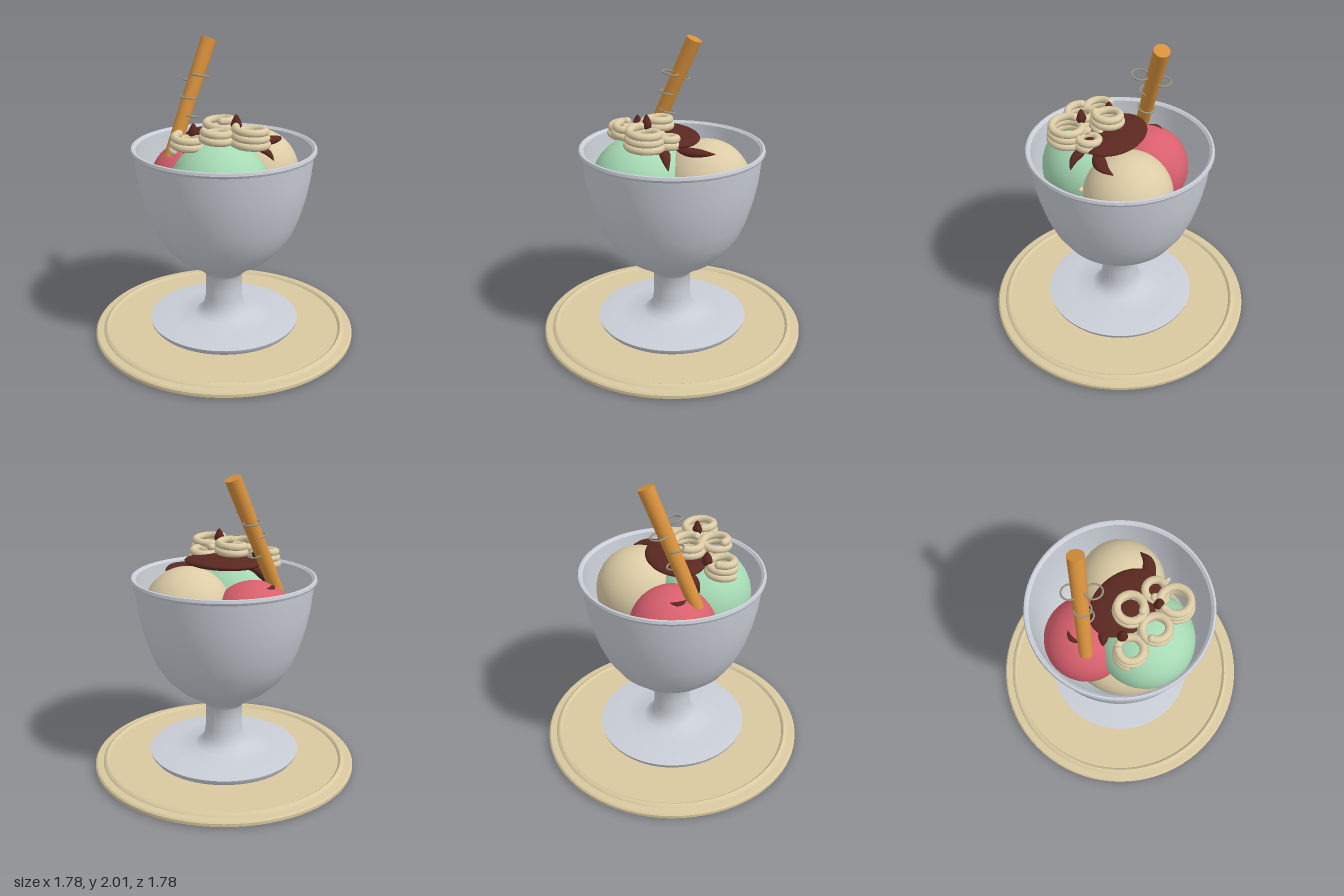
import * as THREE from 'three';
import { toCreasedNormals } from 'three/addons/utils/BufferGeometryUtils.js';

const mat = (name, color) => {
  const m = new THREE.MeshStandardMaterial({ color });
  m.name = name;
  return m;
};
const V = (x, y, z) => new THREE.Vector3(x, y, z);

export function createModel() {
  const group = new THREE.Group();
  const glass = mat('pale grey glass', 0xc9ced6);
  const beige = mat('plate beige', 0xd8c9a0);
  const cream = mat('vanilla cream', 0xdccca6);
  const pink = mat('strawberry pink', 0xd9606e);
  const green = mat('mint green', 0xa6dab4);
  const brown = mat('chocolate', 0x5a2820);
  const orange = mat('wafer orange', 0xd8913c);
  const wire = mat('grey wire', 0x9c9680);

  const add = (name, geo, material, pos = [0, 0, 0], scale = [1, 1, 1]) => {
    const mesh = new THREE.Mesh(geo, material);
    mesh.name = name;
    mesh.position.set(...pos);
    mesh.scale.set(...scale);
    group.add(mesh);
    return mesh;
  };
  const lathe = (pts) => toCreasedNormals(
    new THREE.LatheGeometry(pts.map(([r, y]) => new THREE.Vector2(r, y)), 80), 0.6);

  // Round saucer with a raised bead near its edge
  add('saucer', lathe([
    [0, 0], [0.88, 0], [0.89, 0.01], [0.89, 0.03], [0.88, 0.04],
    [0.835, 0.043], [0.825, 0.055], [0.81, 0.06], [0.8, 0.054], [0.793, 0.044], [0, 0.044],
  ]), beige);

  // Footed goblet: outside from the foot to the rim, then down the inside
  add('goblet', lathe([
    [0, 0.044], [0.46, 0.055], [0.49, 0.065], [0.505, 0.085], [0.51, 0.103], [0.48, 0.108],
    [0.35, 0.12], [0.2, 0.13], [0.165, 0.155], [0.14, 0.19], [0.127, 0.25], [0.124, 0.33],
    [0.124, 0.42], [0.135, 0.44], [0.2, 0.495], [0.3, 0.555], [0.39, 0.64], [0.46, 0.75],
    [0.505, 0.86], [0.545, 1.0], [0.57, 1.13], [0.587, 1.29], [0.6, 1.295], [0.607, 1.31],
    [0.602, 1.328], [0.59, 1.33], [0.573, 1.315], [0.555, 1.13], [0.53, 1.0], [0.49, 0.86],
    [0.445, 0.76], [0.37, 0.66], [0.27, 0.58], [0.15, 0.54], [0, 0.52],
  ]), glass);

  // Ice cream scoops
  const ball = new THREE.SphereGeometry(1, 48, 32);
  const scoop = (name, material, pos, r, h = r) => add(name, ball, material, pos, [r, h, r]);
  scoop('baseScoop', cream, [0.02, 0.86, 0.05], 0.425, 0.31);
  scoop('vanillaScoop', cream, [0.185, 1.115, -0.17], 0.288);
  scoop('strawberryScoop', pink, [-0.235, 1.045, -0.07], 0.282);
  scoop('mintScoop', green, [0.015, 1.11, 0.22], 0.32, 0.31);
  for (const [x, y, z] of [[0.34, 1.16, 0.08], [0.42, 1.1, 0.03]])
    add('creamDrop', ball, cream, [x, y, z], [0.022, 0.015, 0.015]);

  // Chocolate sauce pool
  add('saucePool', ball, brown, [0.02, 1.41, 0.03], [0.262, 0.04, 0.19]);

  // Curved drips, tapering at both ends
  const drip = (pts, r) => {
    const curve = new THREE.CatmullRomCurve3(pts.map((p) => V(...p)));
    const n = 24, k = 10;
    const geo = new THREE.TubeGeometry(curve, n, r, k);
    const p = geo.attributes.position;
    for (let i = 0; i < p.count; i++) {
      const t = Math.floor(i / (k + 1)) / n;
      const c = curve.getPointAt(t);
      const q = V(p.getX(i), p.getY(i), p.getZ(i)).sub(c);
      q.multiplyScalar(Math.sin(Math.PI * (0.02 + 0.96 * t)));
      q.y *= 0.6;
      q.add(c);
      p.setXYZ(i, q.x, q.y, q.z);
    }
    geo.computeVertexNormals();
    add('sauceDrip', geo, brown);
  };
  drip([[0.345, 1.36, -0.16], [0.33, 1.37, -0.08], [0.27, 1.37, -0.01], [0.17, 1.385, 0.06]], 0.045);
  drip([[-0.33, 1.3, -0.13], [-0.355, 1.295, -0.07], [-0.335, 1.3, -0.01]], 0.02);
  drip([[0.14, 1.41, 0.13], [0.25, 1.37, 0.14], [0.31, 1.34, 0.15], [0.35, 1.29, 0.15]], 0.035);
  drip([[-0.12, 1.4, 0.02], [-0.21, 1.36, 0.07], [-0.25, 1.28, 0.1]], 0.035);

  // Piped cream coils: x, base y, z, ring radius, turns
  const coils = [
    [-0.01, 1.43, 0.1, 0.088, 2.2], [0.2, 1.37, 0.11, 0.068, 2.2],
    [-0.18, 1.35, 0.27, 0.085, 2.2], [0.01, 1.415, 0.295, 0.085, 1.8],
    [0.215, 1.4, 0.26, 0.1, 2.7],
  ];
  coils.forEach(([x, y, z, r, turns], i) => {
    const pts = [];
    const steps = Math.round(turns * 16);
    for (let s = 0; s <= steps; s++) {
      const a = (s / 16) * Math.PI * 2 + i * 1.3;
      const rr = r * (1.06 - 0.16 * s / steps);
      pts.push(V(Math.cos(a) * rr, 0.012 + 0.041 * s / 16, Math.sin(a) * rr));
    }
    const curve = new THREE.CatmullRomCurve3(pts);
    add('creamCoil', new THREE.TubeGeometry(curve, 80, 0.025, 10), cream, [x, y, z]);
    for (const end of [pts[0], pts[steps]])
      add('coilEnd', ball, cream, [x + end.x, y + end.y, z + end.z], [0.025, 0.025, 0.025]);
  });

  // Pointed chocolate chips
  const chip = new THREE.LatheGeometry([
    [0, 0], [0.025, 0.004], [0.034, 0.025], [0.028, 0.05], [0.014, 0.08], [0, 0.095],
  ].map(([r, y]) => new THREE.Vector2(r, y)), 20);
  add('chocolateChip', chip, brown, [-0.16, 1.42, 0.18]);
  add('chocolateChip', chip, brown, [0.12, 1.497, 0.21], [1.05, 1, 0.9]);

  // Leaning wafer stick
  const top = V(-0.142, 1.985, -0.205), low = V(-0.35, 1.24, 0.05);
  const axis = top.clone().sub(low);
  const mid = top.clone().add(low).multiplyScalar(0.5);
  const stick = add('waferStick',
    new THREE.CylinderGeometry(0.052, 0.044, axis.length(), 32), orange, mid.toArray());
  stick.quaternion.setFromUnitVectors(V(0, 1, 0), axis.clone().normalize());

  // Thin wire loops around the stick
  const loop = new THREE.TorusGeometry(0.053, 0.006, 8, 40).rotateX(Math.PI / 2);
  const loops = [
    [-0.25, 1.715, -0.16, 0.15], [-0.165, 1.77, -0.047, 0.2],
    [-0.25, 1.62, -0.06, 0.15], [-0.24, 1.5, -0.055, 0.25],
  ];
  for (const [x, y, z, tilt] of loops)
    add('wireLoop', loop, wire, [x, y, z]).rotation.set(-tilt, 0, -tilt * 0.5);

  return group;
}
